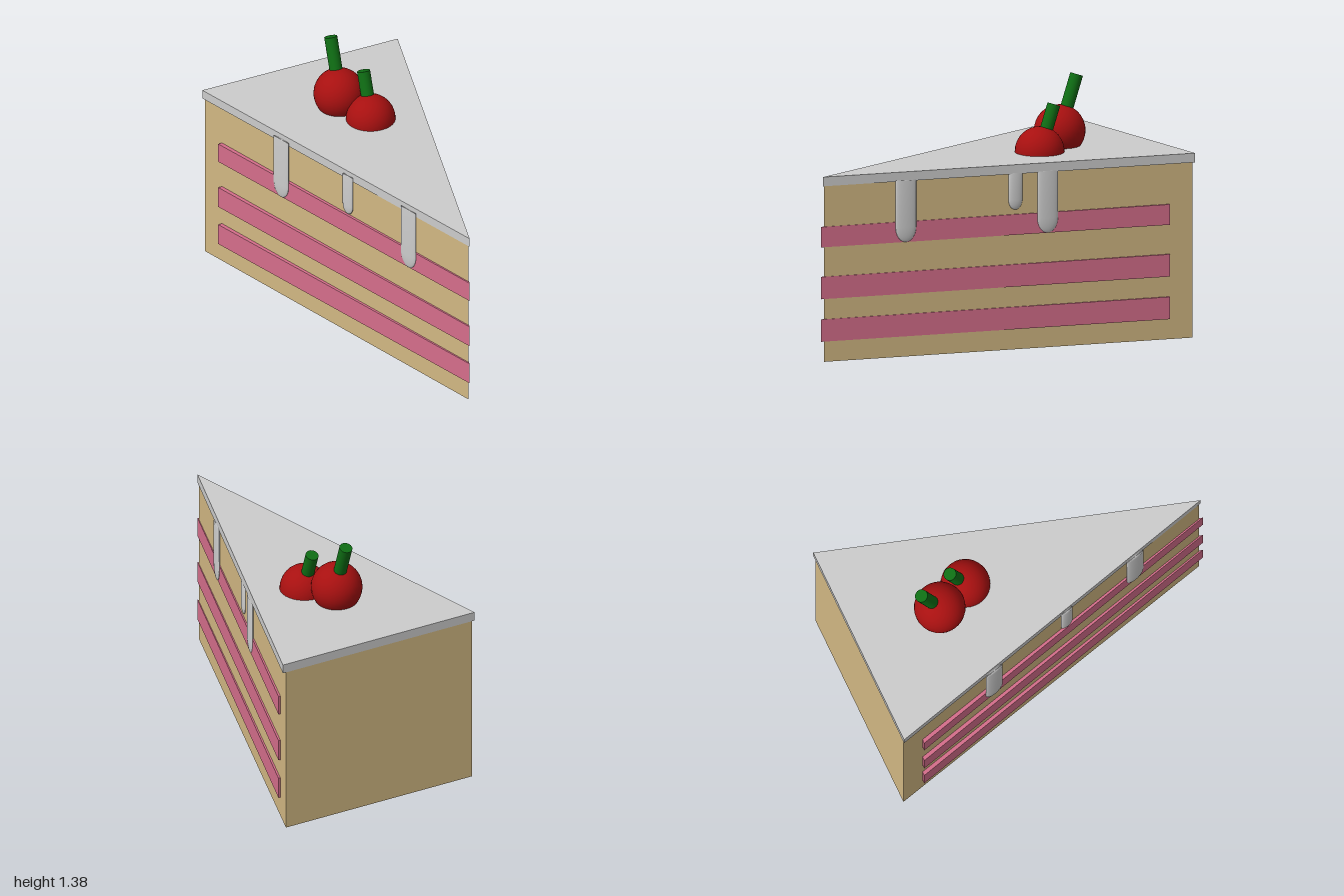
import * as THREE from 'three';

const material = (name, color) => {
  const m = new THREE.MeshStandardMaterial({ color });
  m.name = name;
  return m;
};

export function createModel() {
  const sponge = material('sponge', 0xd2b883);
  const jam = material('pink filling', 0xd56e8b);
  const icing = material('icing', 0xcccccc);
  const red = material('cherry red', 0xa81010);
  const green = material('stem green', 0x0f6e14);
  const cake = new THREE.Group();
  cake.name = 'cakeSlice';

  const add = (name, geometry, mat, parent = cake) => {
    const mesh = new THREE.Mesh(geometry, mat);
    mesh.name = name;
    parent.add(mesh);
    return mesh;
  };

  // Triangular slab from plan corners [x, z], between two heights
  const wedge = (name, corners, y0, y1, mat) => {
    const shape = new THREE.Shape(corners.map(([x, z]) => new THREE.Vector2(x, -z)));
    const geometry = new THREE.ExtrudeGeometry(shape, { depth: y1 - y0, bevelEnabled: false });
    geometry.rotateX(-Math.PI / 2);
    geometry.translate(0, y0, 0);
    return add(name, geometry, mat);
  };

  // Sponge, icing slab and three filling layers
  wedge('sponge', [[-0.565, -0.997], [0.56, -0.997], [-0.005, 0.98]], 0, 0.95, sponge);
  wedge('icing', [[-0.58, -1], [0.58, -1], [-0.002, 0.99]], 0.95, 1, icing);
  for (const [y0, y1] of [[0.11, 0.23], [0.34, 0.46], [0.62, 0.73]]) {
    wedge('fillingLayer', [[-0.552, -0.87], [0.535, -0.87], [-0.007, 1]], y0, y1, jam);
  }

  // Flattened icing drips with rounded ends: [x, z, half width, bottom y]
  const drips = [
    [0.126, 0.545, 0.058, 0.62], [0.29, -0.045, 0.039, 0.755], [0.344, -0.215, 0.058, 0.62],
    [-0.416, -0.4, 0.058, 0.62], [-0.268, 0.09, 0.039, 0.74], [-0.139, 0.545, 0.058, 0.62],
  ];
  for (const [x, z, r, bottom] of drips) {
    const cap = r * 1.4;
    const profile = [];
    for (let i = 0; i <= 8; i++) {
      const a = (i / 8) * Math.PI / 2;
      profile.push(new THREE.Vector2(r * Math.sin(a), bottom + cap * (1 - Math.cos(a))));
    }
    const top = x > 0 ? 0.955 : 0.975;
    profile.push(new THREE.Vector2(r, top), new THREE.Vector2(0, top));
    const drip = add('icingDrip', new THREE.LatheGeometry(profile, 24), icing);
    drip.scale.z = 0.012 / r;
    drip.rotation.y = Math.sign(x) * Math.atan2(0.962, 0.274);
    drip.position.set(x, 0, z);
  }

  // Cherries with backward-leaning stems: position, radius, stem length
  const cherries = [
    [[-0.005, 1.08, -0.53], 0.137, 0.31],
    [[0.085, 1.003, -0.34], 0.132, 0.26],
  ];
  for (const [position, radius, length] of cherries) {
    const cherry = new THREE.Group();
    cherry.name = 'cherry';
    cherry.position.set(...position);
    add('fruit', new THREE.SphereGeometry(radius, 32, 16), red, cherry);
    const stem = add('stem', new THREE.CylinderGeometry(0.035, 0.035, length, 24)
      .translate(0, length / 2, 0), green, cherry);
    stem.rotation.x = -0.35;
    stem.position.x = 0.003;
    cherry.add(stem);
    cake.add(cherry);
  }
  return cake;
}
